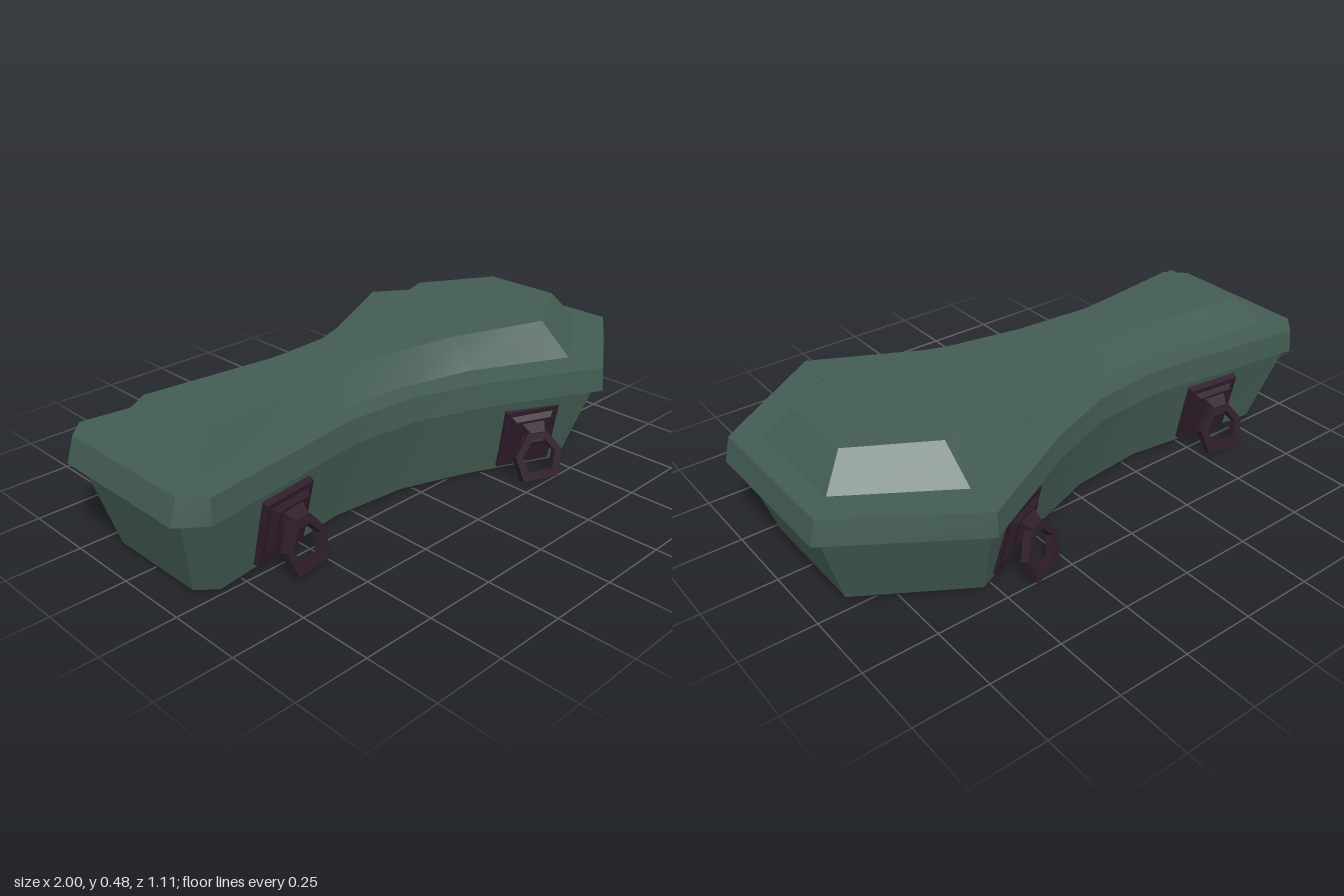
import * as THREE from 'three';
import { toCreasedNormals } from 'three/addons/utils/BufferGeometryUtils.js';

const green = new THREE.MeshStandardMaterial({ color: 0x435d53, side: THREE.DoubleSide });
green.name = 'dark green casket';
const purple = new THREE.MeshStandardMaterial({ color: 0x2e1d2a, side: THREE.DoubleSide });
purple.name = 'dark purple metal';

// Half outlines [x, z] running from the wide head end (+x) to the foot (-x)
const bodyBottom = [[0.88, 0.2], [0.53, 0.42], [0.19, 0.27], [-0.04, 0.19], [-0.31, 0.165], [-0.83, 0.232], [-0.89, 0.18]];
const bodyTop = [[0.97, 0.255], [0.565, 0.52], [0.19, 0.335], [-0.06, 0.25], [-0.31, 0.23], [-0.915, 0.305], [-0.965, 0.25]];
const rimBottom = [[1, 0.27], [0.57, 0.555], [0.19, 0.362], [-0.06, 0.273], [-0.31, 0.25], [-0.915, 0.33], [-1, 0.26]];
const rimTop = [[0.98, 0.268], [0.567, 0.55], [0.19, 0.357], [-0.06, 0.268], [-0.31, 0.245], [-0.91, 0.325], [-0.975, 0.258]];
const crownBottom = [[0.9, 0.193], [0.56, 0.413], [0.23, 0.25], [-0.03, 0.185], [-0.31, 0.165], [-0.88, 0.22]];
const crownTop = [[0.82, 0.14], [0.56, 0.291], [0.23, 0.175], [-0.03, 0.128], [-0.31, 0.11], [-0.78, 0.16]];

const mirrored = (half) => [...half, ...half.slice().reverse().map(([x, z]) => [x, -z])];
const mix = (a, b, t) => a.map(([x, z], i) => [x + (b[i][0] - x) * t, z + (b[i][1] - z) * t]);

// Loft between two half outlines, with optional flat caps
function loft(y0, half0, y1, half1, capBottom, capTop) {
  const lo = mirrored(half0), hi = mirrored(half1), pos = [];
  const put = (y, p) => pos.push(p[0], y, p[1]);
  lo.forEach((p, i) => {
    const j = (i + 1) % lo.length;
    put(y0, p); put(y1, hi[i]); put(y0, lo[j]);
    put(y0, lo[j]); put(y1, hi[i]); put(y1, hi[j]);
  });
  const cap = (y, ring, up) => {
    const flat = ring.map(([x, z]) => new THREE.Vector2(x, z));
    for (const [i, j, k] of THREE.ShapeUtils.triangulateShape(flat, [])) {
      const a = ring[i], b = ring[j], c = ring[k];
      const facesDown = (b[0] - a[0]) * (c[1] - a[1]) - (b[1] - a[1]) * (c[0] - a[0]) > 0;
      (facesDown === up ? [a, c, b] : [a, b, c]).forEach((p) => put(y, p));
    }
  };
  if (capBottom) cap(y0, lo, false);
  if (capTop) cap(y1, hi, true);
  const geometry = new THREE.BufferGeometry();
  geometry.setAttribute('position', new THREE.Float32BufferAttribute(pos, 3));
  return toCreasedNormals(geometry, 0.5);
}

function add(parent, name, geometry, material, x = 0, y = 0, z = 0) {
  const mesh = new THREE.Mesh(geometry, material);
  mesh.name = name;
  mesh.position.set(x, y, z);
  parent.add(mesh);
  return mesh;
}

const polygon = (Type, pts) => new Type(pts.map(([x, y]) => new THREE.Vector2(x, y)));

// Slab whose front face is smaller than its back
function bevelPlate(w, h, d, inset) {
  const geometry = new THREE.BoxGeometry(w, h, d);
  const p = geometry.attributes.position;
  for (let i = 0; i < p.count; i++) {
    if (p.getZ(i) > 0) p.setXY(i, p.getX(i) * (1 - 2 * inset / w), p.getY(i) * (1 - 2 * inset / h));
  }
  return toCreasedNormals(geometry, 0.2);
}

// Carrying handle: plate lying on the sloped wall plus a hanging ring
function createHandle() {
  const handle = new THREE.Group();
  handle.name = 'handle';
  const mount = new THREE.Group();
  mount.name = 'handleMount';
  mount.rotation.x = 0.22;
  add(mount, 'backPlate', bevelPlate(0.207, 0.238, 0.026, 0.005), purple, 0, 0.003, 0.006);
  add(mount, 'raisedPanel', bevelPlate(0.16, 0.17, 0.016, 0.016), purple, 0, 0.015, 0.026);
  add(mount, 'boss', bevelPlate(0.085, 0.08, 0.04, 0.016), purple, 0, 0.035, 0.052);
  const pin = add(mount, 'hingePin', new THREE.CylinderGeometry(0.016, 0.016, 0.1, 6), purple, 0, 0.02, 0.062);
  pin.rotation.z = Math.PI / 2;
  handle.add(mount);

  const shape = polygon(THREE.Shape, [[-0.035, 0.01], [0.035, 0.01], [0.09, -0.065], [0.066, -0.153], [-0.066, -0.153], [-0.09, -0.065]]);
  shape.holes.push(polygon(THREE.Path, [[-0.022, -0.015], [-0.062, -0.066], [-0.044, -0.125], [0.044, -0.125], [0.062, -0.066], [0.022, -0.015]]));
  const ringGeometry = new THREE.ExtrudeGeometry(shape, { depth: 0.028, bevelEnabled: false });
  const ring = add(handle, 'handleRing', ringGeometry, purple, 0, 0.025, 0.057);
  ring.rotation.x = -0.27;
  return handle;
}

export function createModel() {
  const model = new THREE.Group();
  model.name = 'casket';

  // Hollow flared body, open underneath up to the lid
  add(model, 'body', loft(0, bodyBottom, 0.292, bodyTop), green);

  // Thin metal edge around the foot of the body, taller at the head end
  const grow = (half) => half.map(([x, z]) => [x * 1.002, z + 0.002]);
  add(model, 'bottomTrim', loft(0, grow(bodyBottom), 0.006, grow(mix(bodyBottom, bodyTop, 0.021))), purple);
  const headTrim = add(model, 'headTrim', new THREE.BoxGeometry(0.006, 0.014, 0.38), purple, 0.8825, 0.009, 0);
  headTrim.rotation.z = -0.296;

  // Lid: overhanging rim and raised crown
  add(model, 'lidRim', loft(0.291, rimBottom, 0.375, rimTop, true, true), green);
  add(model, 'lidCrown', loft(0.375, crownBottom, 0.477, crownTop, false, true), green);

  // Two handles on each long side
  for (const [x, z, turn] of [[-0.594, 0.232, 0.124], [0.385, 0.38, -0.4]]) {
    for (const side of [1, -1]) {
      const handle = createHandle();
      handle.position.set(x, 0.132, z * side);
      handle.rotation.y = side > 0 ? turn : Math.PI - turn;
      model.add(handle);
    }
  }
  return model;
}
